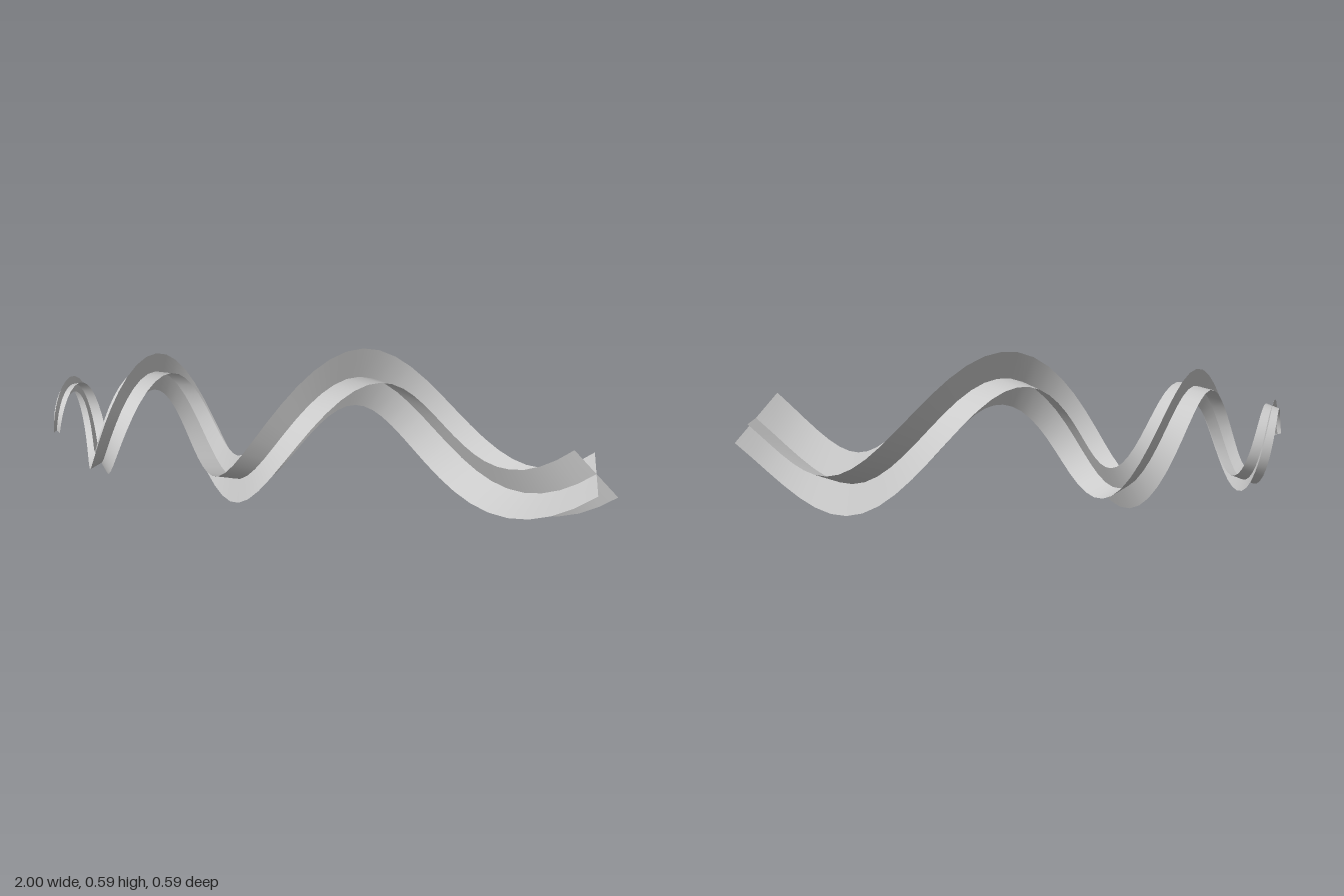
import * as THREE from 'three';

const TURNS = 3, STEPS = 72;

// Position along the axis and coil radius at every quarter turn
const AXIS_X = [-0.985, -0.96, -0.92, -0.86, -0.785, -0.685, -0.565, -0.41, -0.23, 0, 0.26, 0.57, 0.92];
const RADIUS = [0.077, 0.115, 0.138, 0.148, 0.162, 0.18, 0.185, 0.187, 0.194, 0.194, 0.195, 0.193, 0.192];
const profile = new THREE.CatmullRomCurve3(
  AXIS_X.map((x, i) => new THREE.Vector3(x, RADIUS[i], 0)), false, 'catmullrom', 0.5);

// Widening spiral, t from 0 (narrow end) to 1 (wide end)
function spiral(t) {
  const { x, y: r } = profile.getPoint(t);
  const a = t * TURNS * Math.PI * 2;
  return new THREE.Vector3(x, 0.301 + r * Math.sin(a), -0.022 + r * Math.cos(a));
}

function tangent(t) {
  const e = 0.001;
  return spiral(Math.min(1, t + e)).sub(spiral(Math.max(0, t - e))).normalize();
}

// Twist-free frames, carried from the wide end back to the narrow end
function makeFrames() {
  const frames = [];
  const side = new THREE.Vector3(0, 0, 1);
  let previous = tangent(1);
  for (let i = STEPS; i >= 0; i--) {
    const t = i / STEPS;
    const dir = tangent(t);
    side.applyQuaternion(new THREE.Quaternion().setFromUnitVectors(previous, dir));
    side.addScaledVector(dir, -side.dot(dir)).normalize();
    frames[i] = {
      center: spiral(t),
      side: side.clone(),
      up: new THREE.Vector3().crossVectors(dir, side),
      half: THREE.MathUtils.lerp(0.015, 0.1275, t),
    };
    previous = dir;
  }
  return frames;
}

// Tapered strip centred on the spiral, spread along one axis of the frame
function ribbon(name, frames, axis, material) {
  const positions = [], index = [];
  frames.forEach((f, i) => {
    for (const s of [-1, 0, 1]) {
      positions.push(...f.center.clone().addScaledVector(f[axis], s * f.half).toArray());
    }
    if (i === STEPS) return;
    for (let j = 0; j < 2; j++) {
      const a = i * 3 + j, b = a + 3;
      index.push(a, b, a + 1, b, b + 1, a + 1);
    }
  });
  const geometry = new THREE.BufferGeometry();
  geometry.setAttribute('position', new THREE.Float32BufferAttribute(positions, 3));
  geometry.setIndex(index);
  geometry.computeVertexNormals();
  const mesh = new THREE.Mesh(geometry, material);
  mesh.name = name;
  return mesh;
}

export function createModel() {
  const group = new THREE.Group();
  group.name = 'spiralTrail';
  const material = new THREE.MeshStandardMaterial({ color: 0xcccccc, side: THREE.DoubleSide });
  const frames = makeFrames();
  // Two ribbons crossing at right angles
  group.add(ribbon('flatRibbon', frames, 'side', material));
  group.add(ribbon('crossRibbon', frames, 'up', material));
  return group;
}
